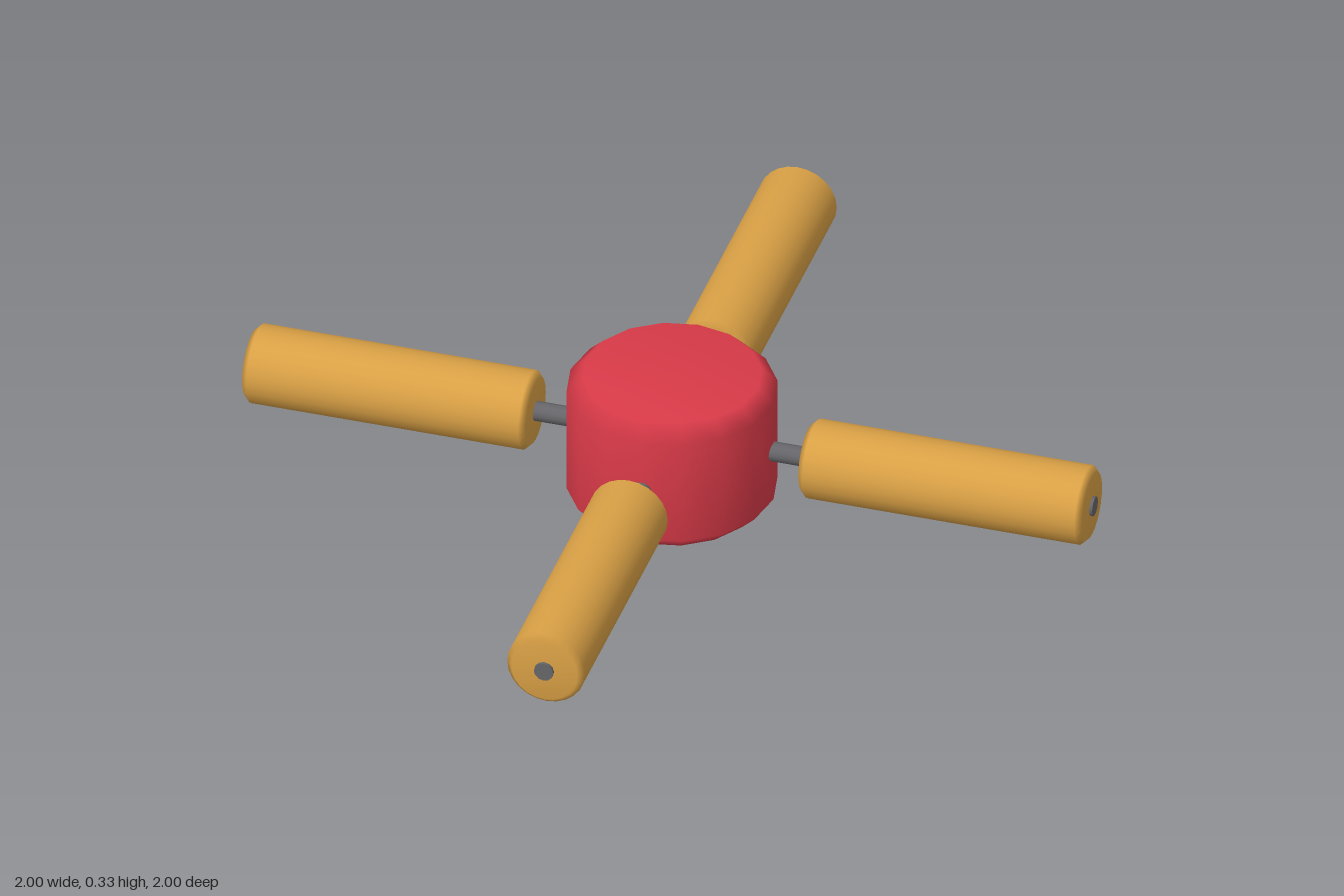
import * as THREE from 'three';

const mat = (color) => new THREE.MeshStandardMaterial({ color, roughness: 0.7 });

// Closed, softly shaded cylinder along +y with bevelled rims
function bevelledCylinder(radius, y0, y1, bevel, sides) {
  const profile = [
    [0, y0], [radius - bevel, y0], [radius, y0 + bevel],
    [radius, y1 - bevel], [radius - bevel, y1], [0, y1],
  ].map(([r, y]) => new THREE.Vector2(r, y));
  return new THREE.LatheGeometry(profile, sides);
}

function named(geometry, material, name) {
  const mesh = new THREE.Mesh(geometry, material);
  mesh.name = name;
  return mesh;
}

export function createModel() {
  const model = new THREE.Group();
  model.name = 'fourHandleHub';
  const red = mat(0xd93a48), wood = mat(0xd9a045), steel = mat(0x66666a);
  const axisY = 0.167;

  // Central hub
  model.add(named(bevelledCylinder(0.24, 0, 0.333, 0.036, 16), red, 'hub'));

  // Four arms: a thin rod running through a thick grip
  const rodGeo = new THREE.CylinderGeometry(0.023, 0.023, 0.9, 12).translate(0, 0.55, 0);
  const gripGeo = bevelledCylinder(0.092, 0.322, 0.993, 0.014, 24);
  ['left', 'back', 'right', 'front'].forEach((side, i) => {
    const arm = new THREE.Group();
    arm.name = side + 'Arm';
    const tilt = new THREE.Group();
    tilt.name = side + 'ArmParts';
    tilt.rotation.z = -Math.PI / 2; // lay the arm along +x
    tilt.add(named(rodGeo, steel, side + 'Rod'), named(gripGeo, wood, side + 'Grip'));
    arm.add(tilt);
    arm.position.y = axisY;
    arm.rotation.y = (i * Math.PI) / 2;
    model.add(arm);
  });
  return model;
}
